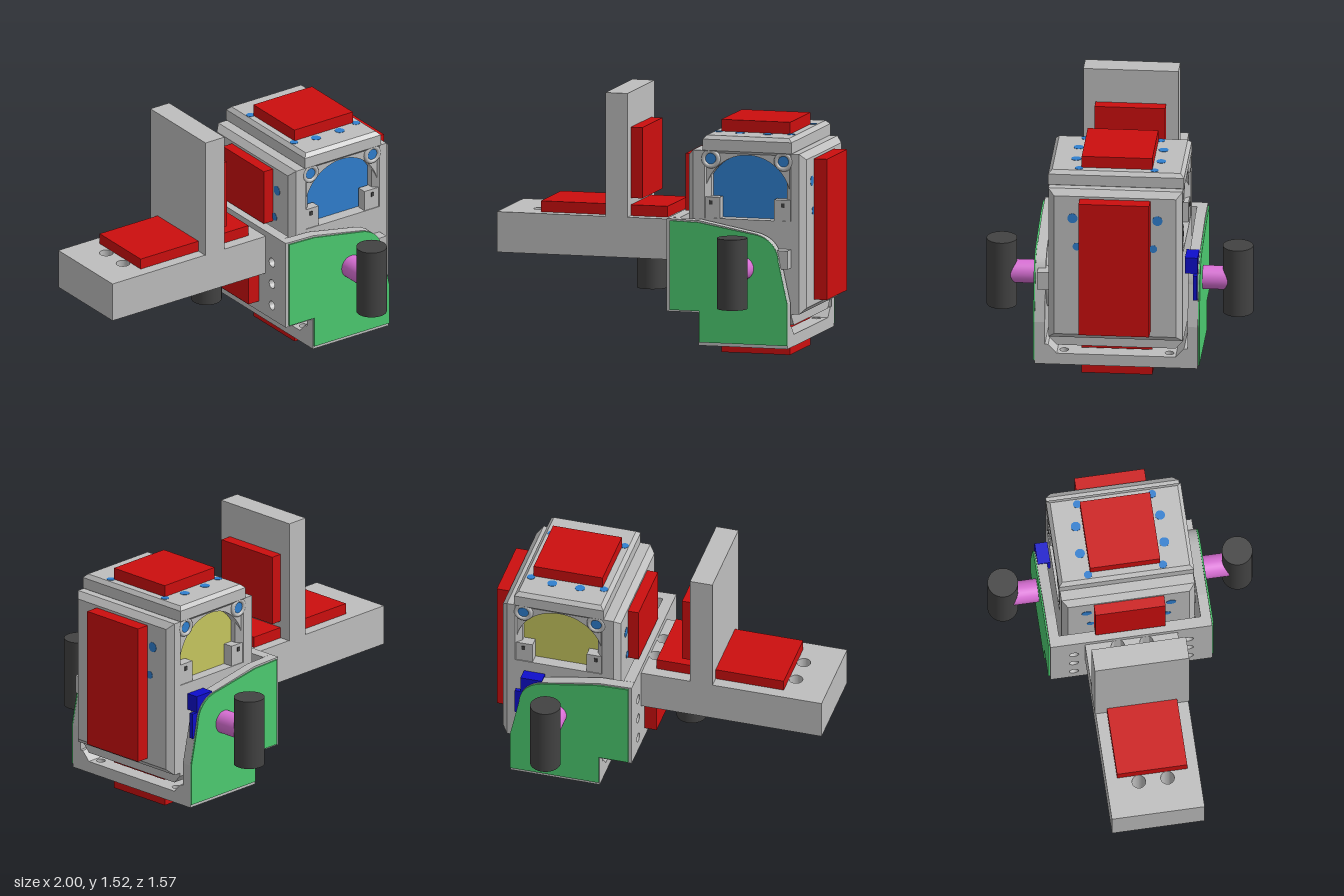
import * as THREE from 'three';

const mat = (name, color) => {
  const m = new THREE.MeshStandardMaterial({ color });
  m.name = name;
  return m;
};

export function createModel() {
  const root = new THREE.Group();
  const grey = mat('light grey', 0xbebebe), red = mat('red', 0xcc0e0e);
  const green = mat('green', 0x4ccb70), blue = mat('blue', 0x2f7fcf);
  const dark = mat('charcoal', 0x424242), pink = mat('orchid', 0xda70d6);
  const yellow = mat('olive yellow', 0xc6c65e), navy = mat('deep blue', 0x0e0ecc);

  const add = (name, geo, material) => {
    const m = new THREE.Mesh(geo, material);
    m.name = name;
    root.add(m);
    return m;
  };
  // Box from its extents
  const box = (name, material, x0, x1, y0, y1, z0, z1) =>
    add(name, new THREE.BoxGeometry(x1 - x0, y1 - y0, z1 - z0), material)
      .position.set((x0 + x1) / 2, (y0 + y1) / 2, (z0 + z1) / 2);
  const cyl = (name, material, r, len, axis, x, y, z) => {
    const g = new THREE.CylinderGeometry(r, r, len, 32);
    if (axis === 'z') g.rotateX(Math.PI / 2);
    if (axis === 'x') g.rotateZ(Math.PI / 2);
    add(name, g, material).position.set(x, y, z);
  };
  const rect = (x0, x1, y0, y1) => new THREE.Shape(
    [[x0, y0], [x1, y0], [x1, y1], [x0, y1]].map(p => new THREE.Vector2(...p)));
  const poly = pts => new THREE.Shape(pts.map(p => new THREE.Vector2(...p)));
  const drill = (shape, r, spots) => {
    for (const [x, y] of spots) shape.holes.push(new THREE.Path().absarc(x, y, r, 0, Math.PI * 2, true));
    return shape;
  };
  // Extrude a shape along an axis, from lo to hi (x: shape is z,y; y: shape is x,z)
  const prism = (name, material, shape, axis, lo, hi, bevel = 0) => {
    const g = new THREE.ExtrudeGeometry(shape, {
      depth: hi - lo - 2 * bevel, curveSegments: 24, bevelEnabled: bevel > 0,
      bevelSize: bevel, bevelThickness: bevel, bevelOffset: -bevel, bevelSegments: 1
    });
    if (axis === 'x') g.rotateY(-Math.PI / 2).translate(hi - bevel, 0, 0);
    else if (axis === 'y') g.rotateX(Math.PI / 2).translate(0, hi - bevel, 0);
    else g.translate(0, 0, lo + bevel);
    return add(name, g, material);
  };

  // Mounting arm with bolt holes, and its upright
  prism('arm', grey, drill(rect(-1, 0.1, -0.275, 0.275), 0.04,
    [[-0.79, -0.085], [-0.79, 0.085], [0.065, -0.085], [0.065, 0.085]]), 'y', 0.545, 0.785);
  box('upright', grey, -0.335, -0.2, 0.785, 1.52, -0.28, 0.28);
  cyl('armPeg', dark, 0.09, 0.21, 'y', -0.13, 0.44, 0);

  // Red pads
  const pads = [
    [-0.75, -0.335, 0.785, 0.85], [-0.2, 0.025, 0.785, 0.85], [-0.2, -0.13, 0.89, 1.31],
    [0.025, 0.1, 0.335, 0.545], [0.135, 0.2, 0.83, 1.17], [0.92, 1, 0.335, 1.17],
    [0.355, 0.775, 1.31, 1.38], [0.355, 0.775, 0, 0.075], [0.355, 0.775, 0.16, 0.2]
  ];
  for (const [x0, x1, y0, y1] of pads) box('pad', red, x0, x1, y0, y1, -0.208, 0.208);

  // Outer yoke: side cheeks with green covers
  const cheek = i => {
    const s = new THREE.Shape();
    s.moveTo(0.1 + i, 0.82 - i / 2);
    s.lineTo(0.1 + i, 0.27 + i / 2);
    s.lineTo(0.295 + i / 4, 0.27 + i / 2);
    s.lineTo(0.295 + i / 4, 0.075 + i);
    s.lineTo(0.84, 0.075 + i);
    s.lineTo(0.84, 0.34);
    s.lineTo(0.785, 0.59);
    s.bezierCurveTo(0.78, 0.68, 0.72, 0.74, 0.62, 0.755 - i / 4);
    s.lineTo(0.3, 0.815 - i / 2);
    s.closePath();
    return s;
  };
  prism('yokeCheek', grey, cheek(0), 'z', 0.42, 0.48);
  prism('yokeCheek', grey, cheek(0), 'z', -0.48, -0.42);
  prism('cheekCover', green, cheek(0.02), 'z', 0.481, 0.49);
  prism('cheekCover', green, cheek(0.02), 'z', -0.49, -0.481);

  // Outer yoke: rear wall, step and drilled floor
  const wallHoles = [], floorHoles = [];
  for (const s of [-1, 1]) {
    wallHoles.push([s * 0.34, 0.36], [s * 0.34, 0.5], [s * 0.34, 0.64]);
    floorHoles.push([0.48, s * 0.27], [0.65, s * 0.27], [0.35, s * 0.31], [0.78, s * 0.31]);
  }
  prism('yokeRearWall', grey, drill(rect(-0.42, 0.42, 0.27, 0.82), 0.028, wallHoles), 'x', 0.1, 0.165);
  box('yokeStep', grey, 0.165, 0.295, 0.27, 0.31, -0.42, 0.42);
  prism('yokeFloor', grey, drill(rect(0.295, 0.84, -0.42, 0.42), 0.026, floorHoles), 'y', 0.075, 0.145);
  for (const s of [-1, 1]) {
    const t = poly([[s * 0.42, 0.145], [s * 0.35, 0.145], [s * 0.4, 0.2], [s * 0.42, 0.2]]);
    prism('yokeCorner', grey, t, 'x', 0.295, 0.84);
  }

  // Inner housing: lower block, side walls and cap, all with chamfered edges
  prism('housingBase', grey, poly([[-0.35, 0.2], [0.35, 0.2], [0.395, 0.25], [0.395, 0.82],
    [-0.395, 0.82], [-0.395, 0.25]]), 'x', 0.296, 0.84);
  prism('housingSideWall', grey, rect(-0.395, 0.395, 0.27, 1.22), 'x', 0.8, 0.92, 0.035);
  prism('housingSideWall', grey, rect(-0.395, 0.395, 0.32, 1.22), 'x', 0.2, 0.34, 0.035);
  prism('housingCap', grey, rect(0.295, 0.84, -0.4, 0.4), 'y', 1.2, 1.31, 0.022);
  box('core', blue, 0.3, 0.835, 0.8, 1.215, -0.32, 0.32);
  box('coreBackPanel', yellow, 0.3, 0.835, 0.82, 1.215, -0.328, -0.321);

  // Arched end frames with corner bosses, bolts and tabs
  const frame = () => {
    const s = rect(0.295, 0.84, 0.8, 1.22);
    const h = new THREE.Path();
    h.moveTo(0.302, 0.82);
    h.lineTo(0.302, 0.935);
    h.absarc(0.5675, 0.935, 0.2655, Math.PI, 0, true);
    h.lineTo(0.833, 0.82);
    h.closePath();
    s.holes.push(h);
    return s;
  };
  for (const s of [-1, 1]) {
    prism('endFrame', grey, frame(), 'z', s > 0 ? 0.33 : -0.385, s > 0 ? 0.385 : -0.33);
    for (const x of [0.342, 0.787]) {
      const ring = new THREE.TorusGeometry(0.045, 0.014, 8, 28);
      add('boltBoss', ring, grey).position.set(x, 1.172, s * 0.385);
      cyl('bolt', blue, 0.032, 0.008, 'z', x, 1.172, s * 0.386);
    }
    for (const x of [0.345, 0.785]) {
      box('frameTab', grey, x - 0.055, x + 0.055, 0.82, 0.945, s * 0.36 - 0.03, s * 0.36 + 0.03);
      box('tabSlot', dark, x - 0.01, x + 0.01, 0.9, 0.925, s * 0.392 - 0.003, s * 0.392 + 0.003);
    }
    // Bolt holes in the cap and in the side walls
    for (const [x, z, r] of [[0.48, 0.25, 0.029], [0.65, 0.25, 0.029], [0.342, 0.222, 0.024], [0.787, 0.222, 0.024]])
      cyl('capHole', blue, r, 0.006, 'y', x, 1.309, s * z);
    for (const [y, z, r] of [[1.045, 0.25, 0.03], [0.865, 0.225, 0.024]])
      for (const x of [0.201, 0.919]) cyl('wallHole', blue, r, 0.006, 'x', x, y, s * z);
  }
  cyl('wallPort', dark, 0.06, 0.006, 'x', 0.919, 0.365, 0);

  // Pivot hub at the front, drive connector at the back
  cyl('pivotHub', grey, 0.2, 0.04, 'z', 0.565, 0.545, 0.405);
  box('hubStop', grey, 0.68, 0.835, 0.545, 0.655, 0.39, 0.465);
  box('connector', navy, 0.65, 0.78, 0.655, 0.755, -0.475, -0.4);
  box('connectorStem', navy, 0.65, 0.815, 0.5, 0.655, -0.475, -0.45);

  // Handles on both sides
  for (const s of [-1, 1]) {
    cyl('handleStem', pink, 0.07, 0.17, 'z', 0.565, 0.545, s * 0.565);
    cyl('handleGrip', dark, 0.09, 0.42, 'y', 0.565, 0.545, s * 0.695);
  }
  return root;
}
